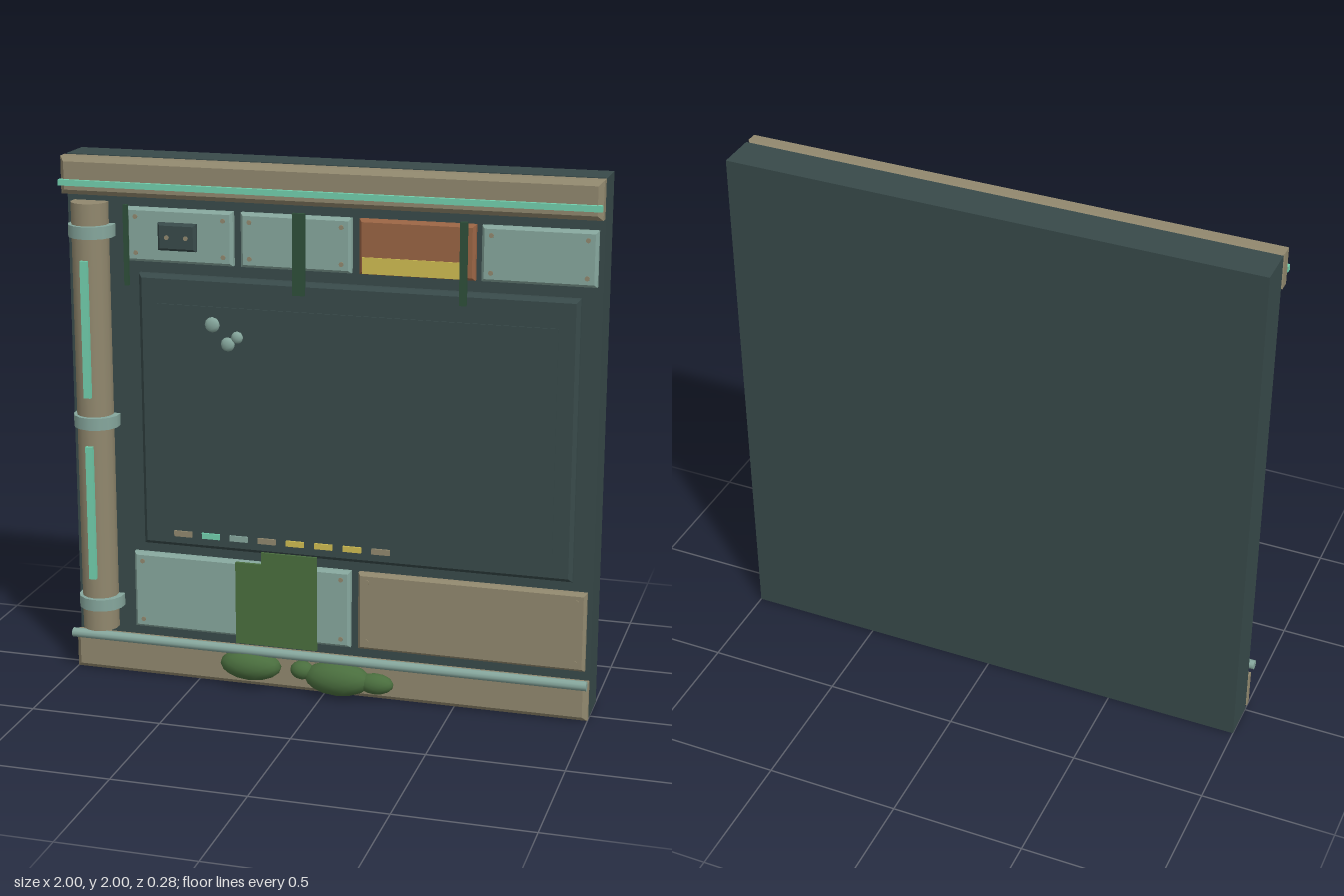
import * as THREE from 'three';

const mat = (name, color) => {
  const m = new THREE.MeshStandardMaterial({ color });
  m.name = name;
  return m;
};

export function createModel() {
  const group = new THREE.Group();
  group.name = 'wallPanel';
  const dark = mat('darkSlate', 0x384a4a);
  const tan = mat('tanMetal', 0x91886e);
  const teal = mat('paleTeal', 0x86a79d);
  const mint = mat('mintLight', 0x72d0ae);
  const rust = mat('rustOrange', 0x9a6444);
  const yellow = mat('yellowPaint', 0xd0bd52);
  const moss = mat('mossGreen', 0x4a6e3e);
  const vine = mat('vineGreen', 0x2e4f3a);

  const add = (name, geo, material, x = 0, y = 0, z = 0) => {
    const mesh = new THREE.Mesh(geo, material);
    mesh.name = name;
    mesh.position.set(x, y, z);
    group.add(mesh);
    return mesh;
  };

  // Plain box given by its limits
  const box = (name, material, x0, x1, y0, y1, z0, z1) =>
    add(name, new THREE.BoxGeometry(x1 - x0, y1 - y0, z1 - z0), material,
      (x0 + x1) / 2, (y0 + y1) / 2, (z0 + z1) / 2);

  // Box with chamfered edges given by its limits
  const bevelBox = (name, material, x0, x1, y0, y1, z0, z1, b) => {
    const s = new THREE.Shape();
    s.moveTo(x0 + b, y0 + b);
    s.lineTo(x1 - b, y0 + b);
    s.lineTo(x1 - b, y1 - b);
    s.lineTo(x0 + b, y1 - b);
    s.closePath();
    const geo = new THREE.ExtrudeGeometry(s, {
      depth: z1 - z0 - 2 * b, bevelEnabled: true,
      bevelSize: b, bevelThickness: b, bevelSegments: 1,
    });
    return add(name, geo, material, 0, 0, z0 + b);
  };

  // Small round studs facing forward
  const stud = (name, x, y, z, r = 0.009) => {
    const geo = new THREE.CylinderGeometry(r, r, 0.008, 8);
    geo.rotateX(Math.PI / 2);
    add(name, geo, tan, x, y, z);
  };

  const F = 0.008; // front face of the slab
  box('backSlab', dark, -1, 1, 0, 2, -0.142, F);

  // Beams across the top and bottom
  bevelBox('topBeam', tan, -1, 1, 1.86, 2, F, 0.085, 0.018);
  bevelBox('bottomBeam', tan, -1, 1, 0, 0.15, F, 0.065, 0.018);
  box('topLightStrip', mint, -1, 1, 1.895, 1.917, 0.08, 0.1);
  const pipe = new THREE.CylinderGeometry(0.018, 0.018, 2, 10);
  pipe.rotateZ(Math.PI / 2);
  add('bottomPipe', pipe, teal, 0, 0.153, 0.089);

  // Vertical conduit with clamps and light strips
  add('conduit', new THREE.CylinderGeometry(0.07, 0.07, 1.66, 14), tan, -0.906, 1, 0.03);
  for (const y of [0.28, 1, 1.725]) {
    add('conduitClamp', new THREE.CylinderGeometry(0.088, 0.088, 0.046, 14), teal, -0.9, y, 0.03);
  }
  for (const [y0, y1] of [[0.385, 0.91], [1.1, 1.62]]) {
    box('conduitLight', mint, -0.919, -0.891, y0, y1, 0.085, 0.113);
  }

  // Panels above and below the screen
  const panels = [
    [teal, -0.757, -0.35, 1.618, 1.818],
    [teal, -0.32, 0.095, 1.618, 1.818],
    [rust, 0.125, 0.548, 1.618, 1.818],
    [teal, 0.57, 0.982, 1.618, 1.818],
    [teal, -0.76, 0.095, 0.187, 0.488],
    [tan, 0.125, 0.982, 0.187, 0.488],
  ];
  for (const [m, x0, x1, y0, y1] of panels) {
    bevelBox('panel', m, x0, x1, y0, y1, F, 0.046, 0.01);
    if (m === rust) continue;
    for (const x of [x0 + 0.035, x1 - 0.035]) {
      for (const y of [y0 + 0.033, y1 - 0.033]) stud('panelRivet', x, y, 0.046);
    }
  }
  box('yellowStripe', yellow, 0.138, 0.503, 1.622, 1.682, 0.045, 0.05);

  // Socket box on the first panel
  bevelBox('socketBox', dark, -0.63, -0.483, 1.668, 1.77, 0.04, 0.07, 0.009);
  for (const x of [-0.593, -0.52]) stud('socketPin', x, 1.718, 0.07);

  // Screen with raised inner plate
  bevelBox('screenFrame', dark, -0.714, 0.928, 0.53, 1.575, F, 0.055, 0.014);
  box('screenPlate', dark, -0.64, 0.854, 0.637, 1.468, 0.054, 0.06);

  // Row of status lights
  [tan, mint, teal, tan, yellow, yellow, yellow, tan].forEach((m, i) => {
    const x = -0.554 + i * 0.11;
    box('statusLight', m, x - 0.035, x + 0.035, 0.572, 0.594, 0.054, 0.062);
  });

  // Pale lichen spots on the screen
  for (const [x, y, r] of [[-0.425, 1.402, 0.029], [-0.366, 1.332, 0.027], [-0.33, 1.36, 0.023]]) {
    add('lichenSpot', new THREE.IcosahedronGeometry(1, 1), teal, x, y, 0.062).scale.set(r, r, 0.014);
  }

  // Hanging vines
  for (const [x, w] of [[-0.755, 0.016], [-0.095, 0.046], [0.51, 0.026]]) {
    box('vine', vine, x - w / 2, x + w / 2, 1.53, 1.83, 0.05, 0.066);
  }

  // Moss sheet and clumps along the bottom
  box('mossSheet', moss, -0.35, -0.032, 0.165, 0.488, 0.044, 0.056);
  box('mossSheetTop', moss, -0.248, -0.032, 0.487, 0.536, 0.044, 0.0565);
  const clumps = [
    [-0.285, 0.092, 0.12, 0.06, 0.06], [-0.082, 0.092, 0.046, 0.036, 0.035],
    [0.057, 0.073, 0.13, 0.066, 0.062], [0.203, 0.068, 0.07, 0.04, 0.038],
  ];
  for (const [x, y, rx, ry, rz] of clumps) {
    add('mossClump', new THREE.IcosahedronGeometry(1, 2), moss, x, y, 0.076).scale.set(rx, ry, rz);
  }
  return group;
}
